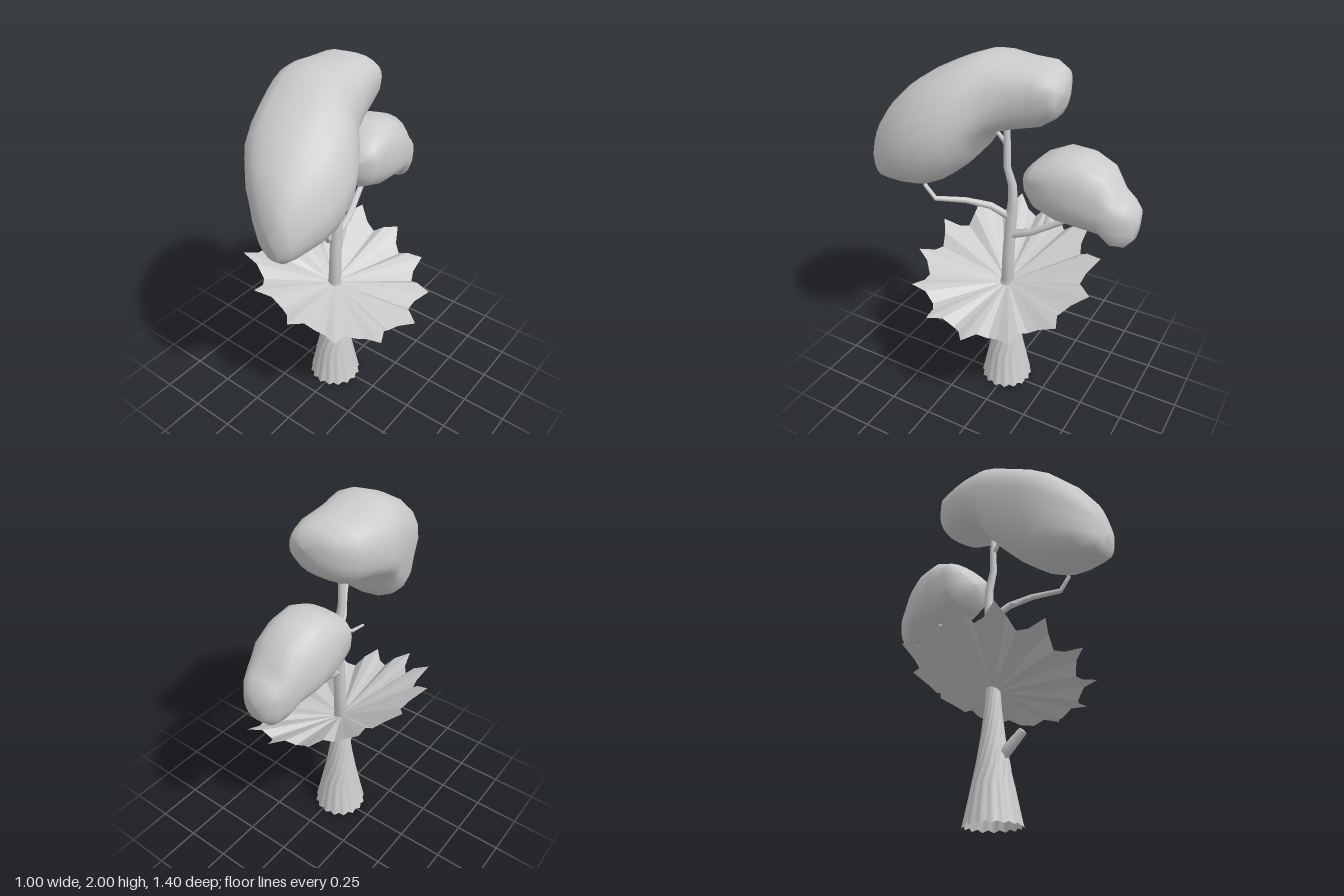
import * as THREE from 'three';

const V = (x, y, z) => new THREE.Vector3(x, y, z);

// Skin a list of equal-sized closed rings, ordered along their axis
function loft(rings) {
  const n = rings[0].length, index = [];
  for (let i = 0; i < rings.length - 1; i++) {
    for (let j = 0; j < n; j++) {
      const a = i * n + j, b = i * n + (j + 1) % n;
      index.push(a, b, a + n, b, b + n, a + n);
    }
  }
  const geo = new THREE.BufferGeometry().setFromPoints(rings.flat());
  geo.setIndex(index);
  geo.computeVertexNormals();
  return geo;
}

function ring(n, fn) {
  return Array.from({ length: n }, (_, j) => fn(j / n * Math.PI * 2, j));
}

// Tapered, kinked limb through a few points, closed at both ends
function limb(points, r0, r1, sides = 8) {
  const pts = points.map(p => V(...p)), last = pts.length - 1;
  const rings = [];
  pts.forEach((p, i) => {
    const dir = pts[Math.min(i + 1, last)].clone().sub(pts[Math.max(i - 1, 0)]).normalize();
    const q = new THREE.Quaternion().setFromUnitVectors(V(0, 0, 1), dir);
    const r = THREE.MathUtils.lerp(r0, r1, i / last);
    const circle = ring(sides, t => V(Math.cos(t) * r, Math.sin(t) * r, 0).applyQuaternion(q).add(p));
    if (i === 0) rings.push(circle.map(() => p.clone()));
    rings.push(circle);
    if (i === last) rings.push(circle.map(() => p.clone()));
  });
  return loft(rings);
}

// Foliage mass from rows of [z, xMin, xMax, yMin, yMax];
// level(z) is the height of its widest line, skew leans the upper half toward -x
function foliage(rows, level, skew, sides = 20) {
  const power = v => Math.sign(v) * Math.pow(Math.abs(v), 0.83);
  return loft(rows.map(([z, x0, x1, y0, y1]) => {
    const yc = THREE.MathUtils.clamp(level(z), y0, y1);
    return ring(sides, t => {
      const s = power(Math.sin(t));
      const dy = s * (s > 0 ? y1 - yc : yc - y0);
      const x = (x0 + x1) / 2 + power(Math.cos(t)) * (x1 - x0) / 2;
      return V(x - skew(z) * Math.max(0, dy), yc + dy, z);
    });
  }));
}

export function createModel() {
  const group = new THREE.Group();
  const smooth = new THREE.MeshStandardMaterial({ color: 0xcccccc });
  const open = new THREE.MeshStandardMaterial({ color: 0xcccccc, side: THREE.DoubleSide });
  const folded = new THREE.MeshStandardMaterial({ color: 0xcccccc, side: THREE.DoubleSide, flatShading: true });
  const add = (name, geo, mat = smooth) => {
    const mesh = new THREE.Mesh(geo, mat);
    mesh.name = name;
    group.add(mesh);
  };

  // Flared, pleated base, twisted toward the neck and open below
  const baseProfile = [[0, 0.147], [0.1, 0.126], [0.2, 0.106], [0.3, 0.087], [0.4, 0.07],
    [0.5, 0.056], [0.6, 0.045], [0.71, 0.037]];
  const pleats = 16;
  add('pleatedBase', loft(baseProfile.map(([y, r]) => ring(pleats * 4, t => {
    const wave = Math.cos(t * pleats);
    const a = t + Math.max(0, y - 0.2) * 2.6, rr = r * (1 + 0.035 * wave);
    const hem = y === 0 ? 0.006 * (1 - wave) : 0;
    return V(-0.03 + Math.cos(a) * rr, y + hem, 0.015 - Math.sin(a) * rr);
  }))), open);

  // Tilted, cupped collar of pointed folds
  const teeth = 13, edge = [1, 0.87, 0.82, 0.86], fold = [0.012, 0.015, -0.025, -0.012];
  add('collarLeaf', loft([0, 0.3, 0.6, 0.85, 1].map(s => ring(teeth * 4, (t, j) => {
    const a = t + 0.035;
    const r = 0.036 + s * (0.505 * edge[j % 4] - 0.036);
    const lean = 0.265 - 0.36 * Math.cos(a);
    return V(
      -0.03 * (1 - s) + Math.cos(a) * r,
      0.69 + r * lean + fold[j % 4] * s,
      0.015 - Math.sin(a) * r * 1.06);
  }))), folded);

  // Trunk and limbs
  add('trunk', limb([[-0.03, 0.66, 0.015], [-0.03, 0.9, 0.005], [-0.03, 1.15, -0.012],
    [-0.03, 1.22, -0.02], [-0.03, 1.32, -0.017], [-0.03, 1.42, 0.015], [-0.03, 1.68, 0.015]], 0.037, 0.017, 10));
  add('frontBranch', limb([[-0.03, 1.12, -0.01], [0.03, 1.2, 0.08], [0.09, 1.23, 0.2],
    [0.18, 1.25, 0.33], [0.2, 1.33, 0.38]], 0.022, 0.011));
  add('frontTwig', limb([[0.03, 1.205, 0.1], [0.01, 1.17, 0.17], [0, 1.165, 0.26]], 0.013, 0.007));
  add('backBranch', limb([[-0.03, 1.02, -0.02], [-0.04, 1.06, -0.13], [-0.07, 1.12, -0.24],
    [-0.1, 1.19, -0.36], [-0.1, 1.26, -0.42]], 0.024, 0.012));
  add('backTwig', limb([[-0.06, 1.1, -0.2], [-0.1, 1.17, -0.2], [-0.1, 1.27, -0.22]], 0.012, 0.007));
  add('backEndTwig', limb([[-0.1, 1.2, -0.38], [-0.09, 1.19, -0.45], [-0.07, 1.16, -0.53]], 0.011, 0.007));
  add('upperTwig', limb([[-0.03, 1.54, 0.015], [-0.03, 1.6, 0.07], [-0.03, 1.65, 0.1]], 0.013, 0.008));
  add('lowerStub', limb([[-0.02, 0.34, 0.06], [0, 0.39, 0.11], [0.015, 0.455, 0.185]], 0.034, 0.023));

  // Foliage
  add('mainCanopy', foliage([
    [-0.285, -0.03, -0.03, 1.86, 1.86],
    [-0.275, -0.13, 0.05, 1.78, 1.92],
    [-0.24, -0.23, 0.07, 1.72, 1.955],
    [-0.17, -0.28, 0.09, 1.67, 1.98],
    [-0.05, -0.305, 0.12, 1.64, 1.985],
    [0.05, -0.31, 0.155, 1.615, 2],
    [0.12, -0.295, 0.2, 1.57, 2],
    [0.16, -0.285, 0.235, 1.48, 1.995],
    [0.22, -0.265, 0.28, 1.41, 1.975],
    [0.3, -0.235, 0.32, 1.345, 1.94],
    [0.4, -0.2, 0.335, 1.3, 1.89],
    [0.5, -0.15, 0.325, 1.295, 1.825],
    [0.6, -0.055, 0.285, 1.295, 1.725],
    [0.66, 0.03, 0.25, 1.3, 1.63],
    [0.69, 0.09, 0.21, 1.33, 1.52],
    [0.7, 0.15, 0.15, 1.42, 1.42]],
  z => Math.min(1.85, 1.79 - 0.5 * z),
  z => THREE.MathUtils.smoothstep(z, -0.05, 0.3) * 0.25));
  add('backCanopy', foliage([
    [-0.7, -0.07, -0.07, 1.25, 1.25],
    [-0.692, -0.145, 0, 1.17, 1.33],
    [-0.65, -0.18, 0.04, 1.12, 1.375],
    [-0.59, -0.205, 0.07, 1.12, 1.42],
    [-0.53, -0.225, 0.085, 1.18, 1.53],
    [-0.42, -0.25, 0.105, 1.19, 1.575],
    [-0.3, -0.25, 0.11, 1.195, 1.58],
    [-0.18, -0.235, 0.1, 1.235, 1.52],
    [-0.12, -0.17, 0.05, 1.29, 1.46],
    [-0.1, -0.06, -0.06, 1.38, 1.38]],
  z => 1.42 + 0.3 * Math.min(0, z + 0.2), () => 0));

  return group;
}
